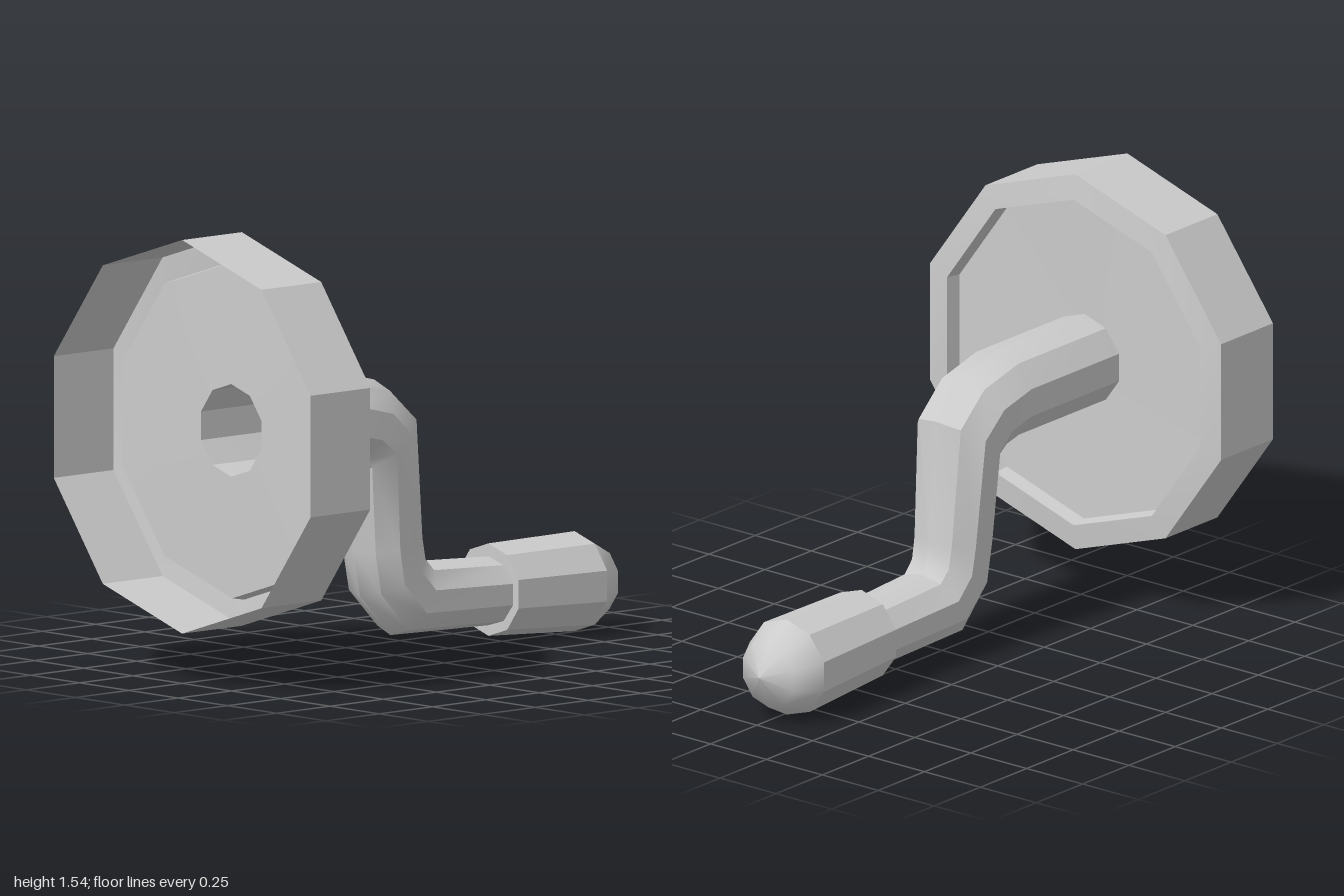
import * as THREE from 'three';
import { toCreasedNormals } from 'three/addons/utils/BufferGeometryUtils.js';

const SIDES = 10;

// Skin over ten-sided rings. Each ring: top point, bottom point, half width in z, z centre.
function loft(rings, smooth = false) {
  const pos = [], index = [];
  for (const { top, bottom, rz, z = 0 } of rings) {
    const cx = (top[0] + bottom[0]) / 2, cy = (top[1] + bottom[1]) / 2;
    const ux = top[0] - cx, uy = top[1] - cy;
    for (let j = 0; j < SIDES; j++) {
      const a = (j / SIDES) * Math.PI * 2;
      pos.push(cx + ux * Math.cos(a), cy + uy * Math.cos(a), z + rz * Math.sin(a));
    }
  }
  for (let i = 0; i < rings.length - 1; i++) {
    for (let j = 0; j < SIDES; j++) {
      const k = (j + 1) % SIDES;
      const a = i * SIDES + j, b = i * SIDES + k;
      index.push(a, b, a + SIDES, b, b + SIDES, a + SIDES);
    }
  }
  const geo = new THREE.BufferGeometry();
  geo.setAttribute('position', new THREE.Float32BufferAttribute(pos, 3));
  geo.setIndex(index);
  if (smooth) {
    geo.computeVertexNormals();
    return geo;
  }
  return toCreasedNormals(geo, 0.58);
}

// Upright round ring at x
const round = (x, y, r, z = 0) => ({ top: [x, y + r], bottom: [x, y - r], rz: r, z });

export function createModel() {
  const group = new THREE.Group();
  const material = new THREE.MeshStandardMaterial({ color: 0xcccccc, side: THREE.DoubleSide });
  const add = (name, geo) => {
    const mesh = new THREE.Mesh(geo, material);
    mesh.name = name;
    group.add(mesh);
  };

  // Hollow wheel, open at the back: rim, front lip, recess and disc with a hole for the arm
  const hub = 0.865;
  add('wheel', loft([
    round(-1, hub, 0.685),
    round(-0.72, hub, 0.685),
    round(-0.71, hub, 0.595),
    round(-0.765, hub, 0.585),
    round(-0.77, hub, 0.161),
  ]));

  // Cranked arm
  add('crankArm', loft([
    round(-0.77, hub, 0.161),
    round(-0.3, hub, 0.161),
    { top: [-0.1, 0.977], bottom: [-0.25, 0.692], rz: 0.161 },
    { top: [0.037, 0.853], bottom: [-0.22, 0.672], rz: 0.16 },
    { top: [0.08, 0.425], bottom: [-0.19, 0.377], rz: 0.142, z: -0.005 },
    { top: [0.096, 0.355], bottom: [-0.16, 0.227], rz: 0.14, z: -0.007 },
    { top: [0.128, 0.323], bottom: [-0.016, 0.078], rz: 0.138, z: -0.008 },
    { top: [0.45, 0.307], bottom: [0.45, 0.067], rz: 0.131, z: -0.009 },
  ]));

  // Grip with a stepped shoulder
  add('handleGrip', loft([
    round(0.445, 0.187, 0.115, -0.009),
    round(0.445, 0.191, 0.161, -0.009),
    round(0.85, 0.181, 0.174, -0.01),
  ]));

  // Rounded end of the grip
  add('handleTip', loft([
    round(0.85, 0.181, 0.174, -0.01),
    round(0.95, 0.18, 0.119, -0.01),
    round(1, 0.182, 0.0005, -0.01),
  ], true));

  return group;
}
